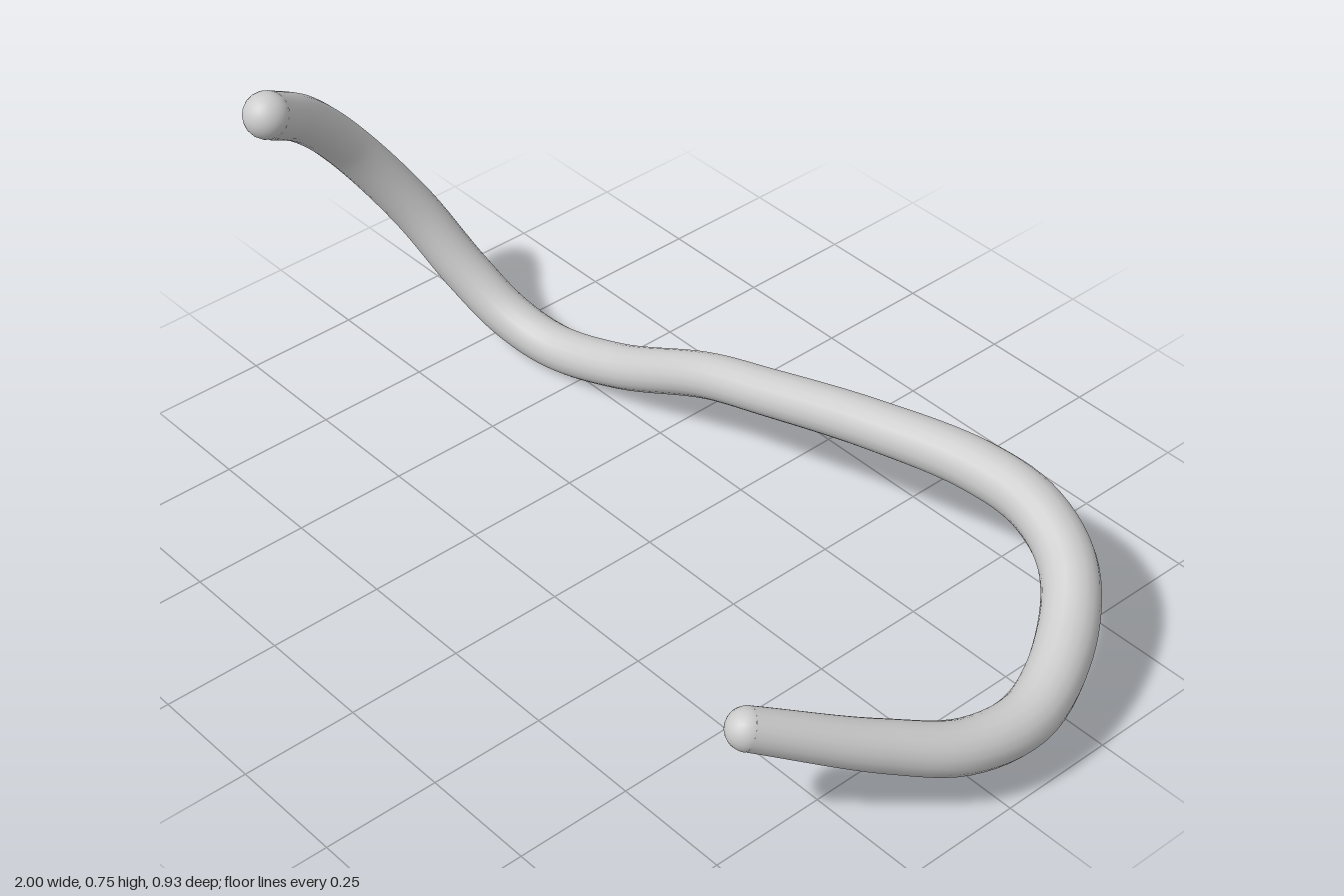
import * as THREE from 'three';

// Centre line of the bent rod: x, y, z, radius
const PATH = [
  [-0.874, 0.712, 0.25, 0.05],
  [-0.925, 0.625, 0.13, 0.05],
  [-0.95, 0.49, 0.005, 0.05],
  [-0.895, 0.31, -0.115, 0.051],
  [-0.8, 0.165, -0.178, 0.051],
  [-0.7, 0.085, -0.212, 0.05],
  [-0.58, 0.056, -0.238, 0.049],
  [-0.4, 0.092, -0.264, 0.048],
  [-0.15, 0.195, -0.293, 0.048],
  [0, 0.228, -0.317, 0.049],
  [0.25, 0.27, -0.364, 0.051],
  [0.5, 0.29, -0.408, 0.054],
  [0.65, 0.282, -0.409, 0.055],
  [0.78, 0.245, -0.365, 0.057],
  [0.88, 0.187, -0.258, 0.058],
  [0.943, 0.142, -0.1, 0.056],
  [0.93, 0.147, 0.05, 0.053],
  [0.86, 0.192, 0.2, 0.05],
  [0.735, 0.283, 0.418, 0.042],
];
const SEGMENTS = 140;
const SIDES = 18;

export function createModel() {
  const group = new THREE.Group();
  group.name = 'bentRod';
  const material = new THREE.MeshStandardMaterial({ color: 0xcccccc });
  const curve = new THREE.CatmullRomCurve3(PATH.map(([x, y, z]) => new THREE.Vector3(x, y, z)));

  // Radius at arc fraction u
  const radiusAt = (u) => {
    const f = curve.getUtoTmapping(u) * (PATH.length - 1);
    const i = Math.min(Math.floor(f), PATH.length - 2);
    return THREE.MathUtils.lerp(PATH[i][3], PATH[i + 1][3], f - i);
  };

  // Rod: a unit-scaled tube whose rings are resized to the local radius
  const base = 0.05;
  const tube = new THREE.TubeGeometry(curve, SEGMENTS, base, SIDES, false);
  const pos = tube.attributes.position;
  const v = new THREE.Vector3();
  for (let i = 0; i <= SEGMENTS; i++) {
    const u = i / SEGMENTS;
    const centre = curve.getPointAt(u);
    for (let j = 0; j <= SIDES; j++) {
      const k = i * (SIDES + 1) + j;
      v.fromBufferAttribute(pos, k).sub(centre).multiplyScalar(radiusAt(u) / base).add(centre);
      pos.setXYZ(k, v.x, v.y, v.z);
    }
  }
  const rod = new THREE.Mesh(tube, material);
  rod.name = 'rod';
  group.add(rod);

  // Rounded ends: hemispheres facing outwards along the path
  for (const [u, name] of [[0, 'rightEnd'], [1, 'leftEnd']]) {
    const dome = new THREE.SphereGeometry(radiusAt(u), SIDES, 8, 0, Math.PI * 2, 0, Math.PI / 2);
    const end = new THREE.Mesh(dome, material);
    const outward = curve.getTangentAt(u).multiplyScalar(u ? 1 : -1);
    end.quaternion.setFromUnitVectors(new THREE.Vector3(0, 1, 0), outward);
    end.position.copy(curve.getPointAt(u));
    end.name = name;
    group.add(end);
  }
  return group;
}
